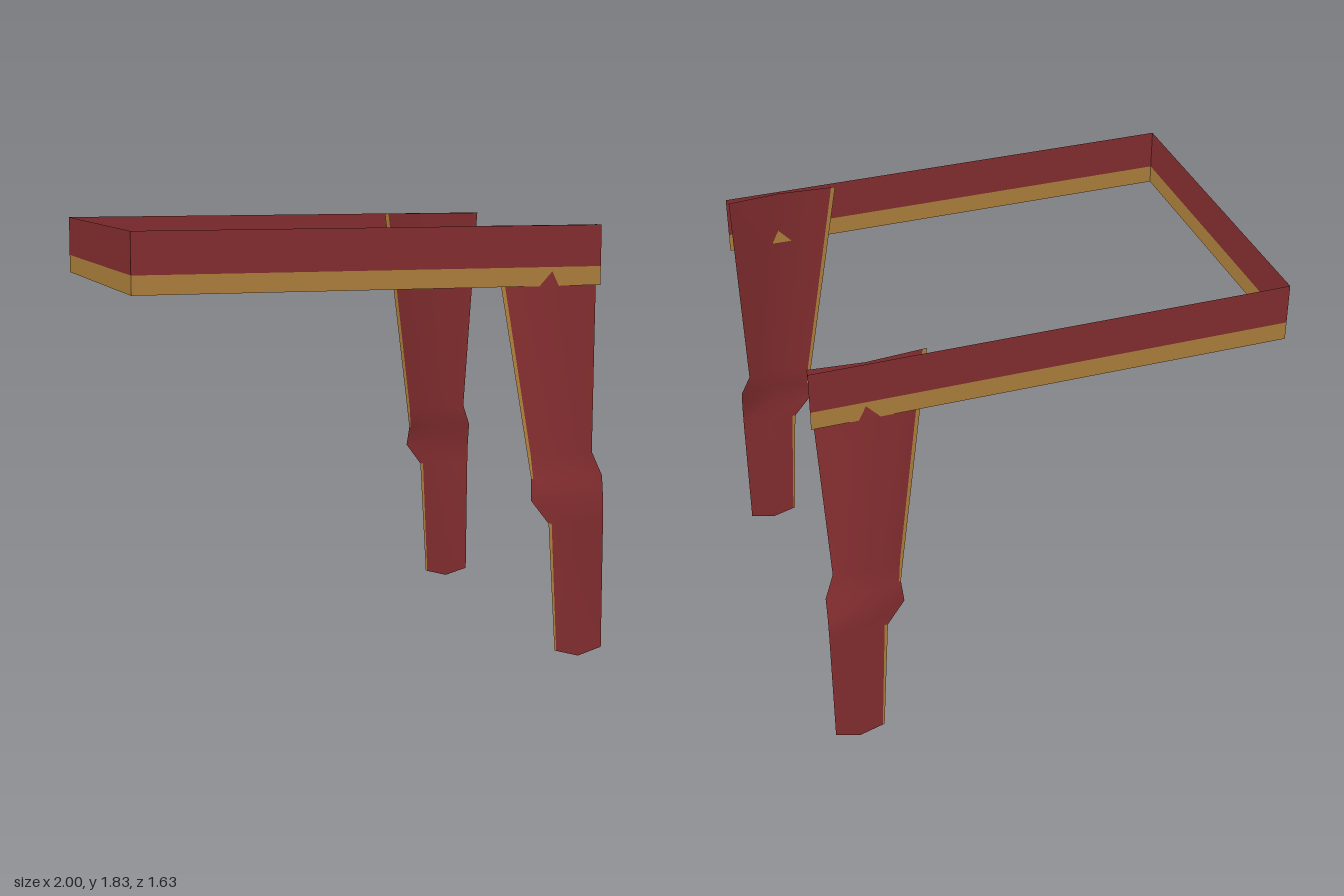
import * as THREE from 'three';

const red = new THREE.MeshStandardMaterial({ color: 0x8a3032, side: THREE.DoubleSide });
red.name = 'dark red';
const ochre = new THREE.MeshStandardMaterial({ color: 0xb5853f, side: THREE.DoubleSide });
ochre.name = 'ochre';

const HALF_DEPTH = 0.72;
const BAND_BOTTOM = 1.573, BAND_SEAM = 1.652, BAND_TOP = 1.825;

// One upright strip of the frame: red above, ochre trim below
function makeBand(name, length, x, z, turn) {
  const band = new THREE.Group();
  band.name = name;
  const layers = [['bandPanel', BAND_SEAM, BAND_TOP, red], ['bandTrim', BAND_BOTTOM, BAND_SEAM, ochre]];
  for (const [part, low, high, material] of layers) {
    const mesh = new THREE.Mesh(new THREE.PlaneGeometry(length, high - low), material);
    mesh.name = part;
    mesh.position.y = (low + high) / 2;
    band.add(mesh);
  }
  band.position.set(x, 0, z);
  band.rotation.y = turn;
  return band;
}

// Leg cross-sections from top to foot:
// y, inner edge x and z, trim width, ridge x and z, outer edge x and z
const legRows = [
  [1.825, 0.52, 0.685, 0.018, 0.77, 0.705, 0.995, 0.685],
  [0.87, 0.665, 0.757, 0.014, 0.82, 0.78, 0.96, 0.755],
  [0.77, 0.68, 0.766, 0.008, 0.84, 0.792, 1.0, 0.775],
  [0.68, 0.673, 0.785, 0.01, 0.84, 0.815, 1.0, 0.79],
  [0.58, 0.75, 0.795, 0.014, 0.875, 0.798, 1.0, 0.795],
  [0.03, 0.785, 0.80, 0.008, 0.893, 0.802, 1.0, 0.80],
];
const trimmedSections = [0, 1, 4];

// Thin leg sheet folded along a central ridge, with an ochre inner edge
function makeLeg(name, side) {
  const positions = [];
  legRows.forEach(([y, x0, z0, trim, x1, z1, x2, z2], row) => {
    const t = trim / (x1 - x0);
    const ridgeY = row === legRows.length - 1 ? 0 : y; // pointed foot
    positions.push(
      x0, y, z0 * side,
      x0 + trim, y + (ridgeY - y) * t, (z0 + (z1 - z0) * t) * side,
      x1, ridgeY, z1 * side,
      x2, y, z2 * side,
    );
  });

  const faces = [[], []]; // red, ochre
  for (let row = 0; row < legRows.length - 1; row++) {
    for (let col = 0; col < 3; col++) {
      const a = row * 4 + col, b = a + 4;
      const quad = [a, b, b + 1, a, b + 1, a + 1];
      if (side < 0) quad.reverse();
      faces[col === 0 && trimmedSections.includes(row) ? 1 : 0].push(...quad);
    }
  }

  const geometry = new THREE.BufferGeometry();
  geometry.setAttribute('position', new THREE.Float32BufferAttribute(positions, 3));
  geometry.setIndex([...faces[0], ...faces[1]]);
  geometry.addGroup(0, faces[0].length, 0);
  geometry.addGroup(faces[0].length, faces[1].length, 1);
  geometry.computeVertexNormals();
  const leg = new THREE.Mesh(geometry, [red, ochre]);
  leg.name = name;
  return leg;
}

export function createModel() {
  const model = new THREE.Group();
  model.name = 'openFrameWithLegs';
  // Three-sided frame, open at +x
  model.add(makeBand('frontBand', 2, 0, HALF_DEPTH, 0));
  model.add(makeBand('backBand', 2, 0, -HALF_DEPTH, Math.PI));
  model.add(makeBand('endBand', HALF_DEPTH * 2, -1, 0, -Math.PI / 2));
  // Mirrored legs
  model.add(makeLeg('frontLeg', 1));
  model.add(makeLeg('backLeg', -1));
  return model;
}
